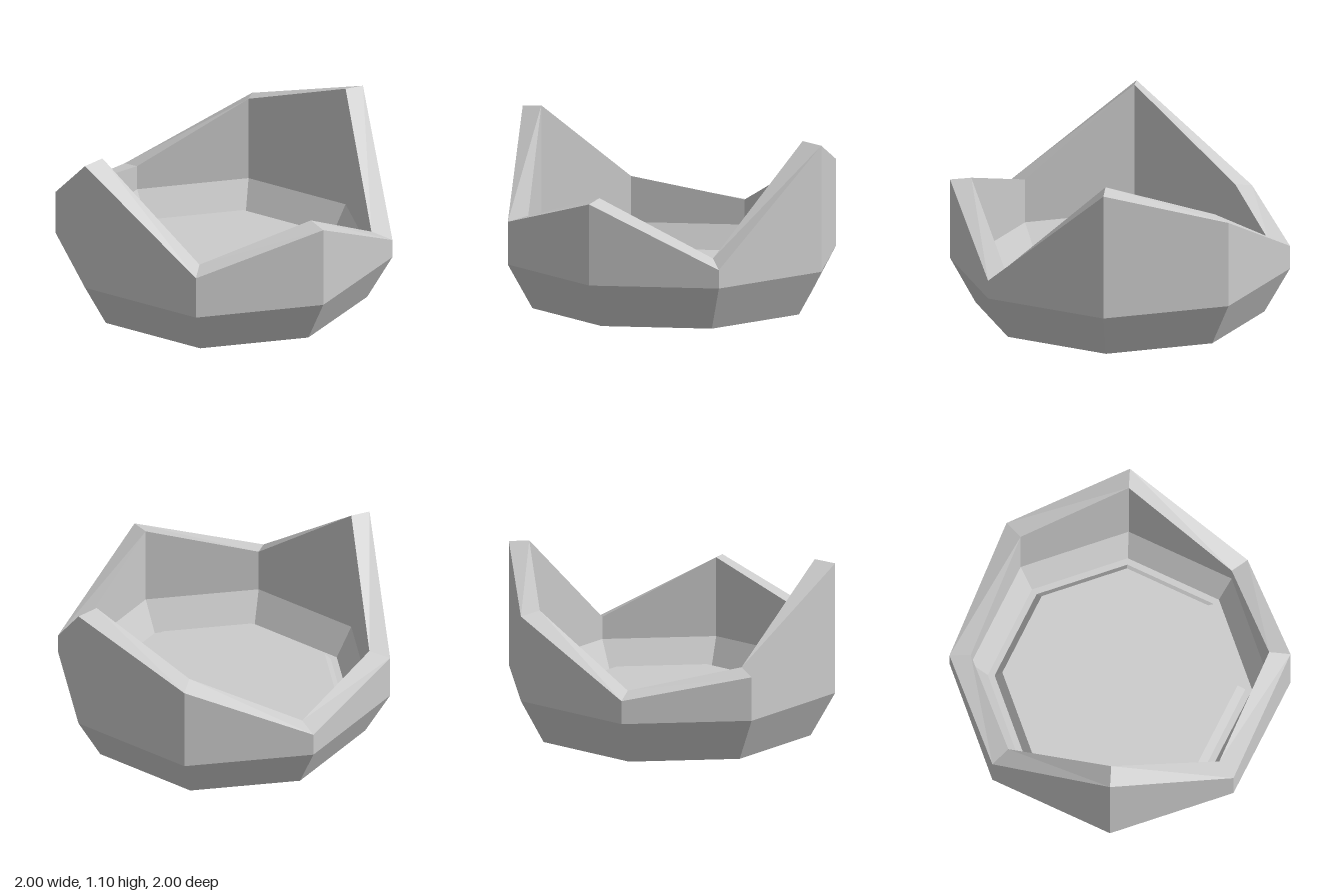
import * as THREE from 'three';

const SIDES = 8;
const material = new THREE.MeshStandardMaterial({ color: 0xcccccc, flatShading: true });

// Broken rim heights, starting at +x and turning towards +z
const RIM_OUTER = [0.775, 0.545, 1.08, 0.555, 0.43, 0.805, 1.045, 0.40];
const RIM_INNER = [0.79, 0.575, 1.095, 0.585, 0.46, 0.825, 1.06, 0.445];

// One octagonal cross-section: y is a number or a height for each corner
function ring(radius, y) {
  return Array.from({ length: SIDES }, (_, k) => {
    const a = (k / SIDES) * Math.PI * 2;
    return new THREE.Vector3(radius * Math.cos(a), Array.isArray(y) ? y[k] : y, radius * Math.sin(a));
  });
}

// Skin a list of [radius, y] cross-sections into a faceted mesh
function skin(name, profile) {
  const rings = profile.map(([r, y]) => ring(r, y));
  const points = [];
  for (let j = 0; j < rings.length - 1; j++) {
    for (let k = 0; k < SIDES; k++) {
      const n = (k + 1) % SIDES;
      const a = rings[j][k], b = rings[j][n], c = rings[j + 1][n], d = rings[j + 1][k];
      if (profile[j + 1][0] > 0) points.push(a, d, c);
      if (profile[j][0] > 0) points.push(a, c, b);
    }
  }
  const geometry = new THREE.BufferGeometry().setFromPoints(points);
  geometry.computeVertexNormals();
  const mesh = new THREE.Mesh(geometry, material);
  mesh.name = name;
  return mesh;
}

export function createModel() {
  const bowl = new THREE.Group();
  bowl.name = 'brokenBowl';

  // Recessed underside and shallow foot
  bowl.add(skin('base', [[0, 0.08], [0.62, 0.08], [0.69, 0], [0.85, 0.02]]));
  // Flared lower wall, then upright wall to the jagged edge
  bowl.add(skin('outerWall', [[0.85, 0.02], [1, 0.29], [1, RIM_OUTER]]));
  // Thickness of the jagged edge
  bowl.add(skin('rim', [[1, RIM_OUTER], [0.875, RIM_INNER]]));
  // Inside of the wall
  bowl.add(skin('innerWall', [[0.875, RIM_INNER], [0.875, 0.31], [0.775, 0.13]]));
  // Narrow gutter around a raised floor
  bowl.add(skin('floor', [[0.775, 0.13], [0.735, 0.13], [0.69, 0.19], [0, 0.19]]));

  return bowl;
}
